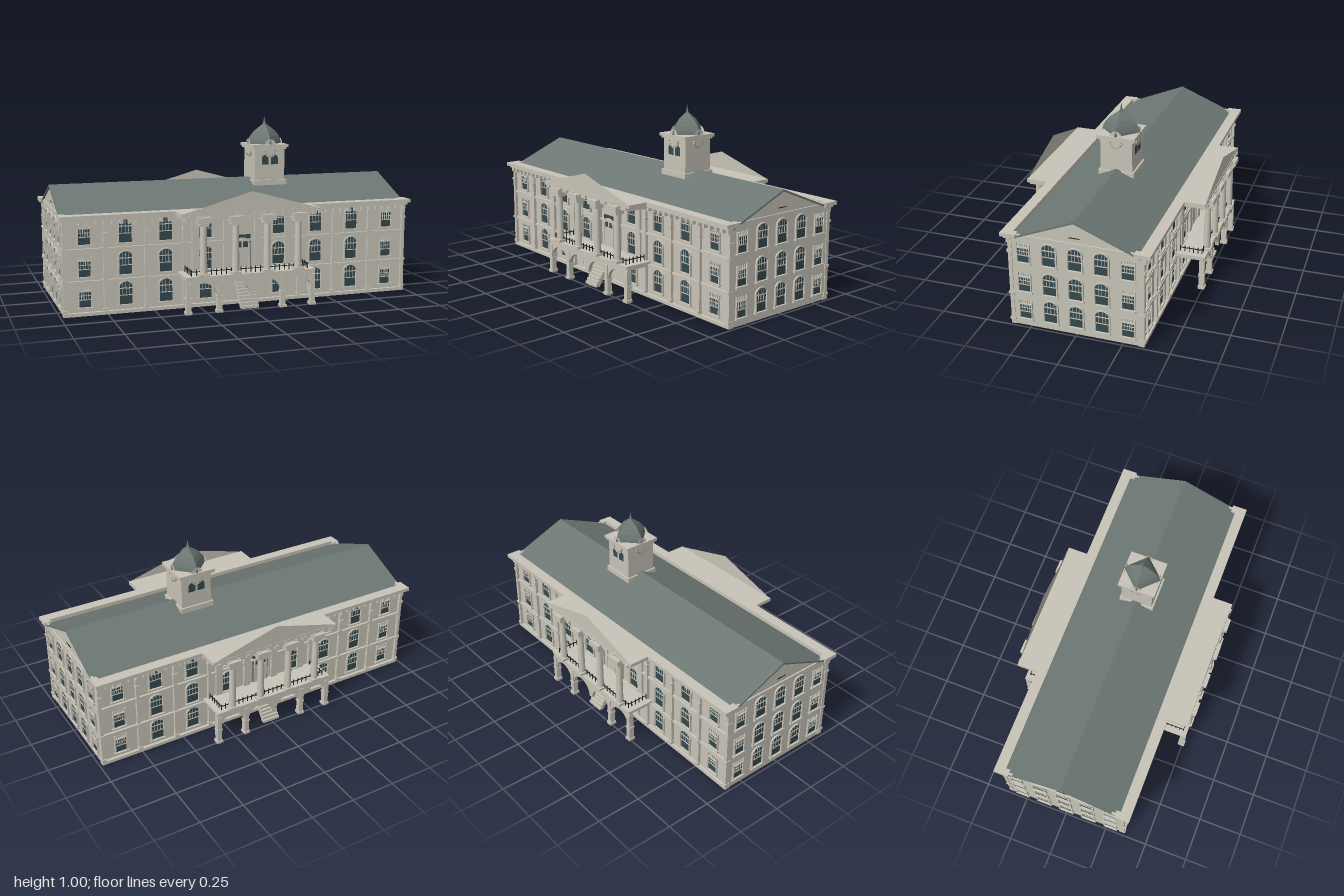
import * as THREE from 'three';
import { mergeGeometries } from 'three/addons/utils/BufferGeometryUtils.js';

const mat = (name, color, side = THREE.FrontSide) => {
  const m = new THREE.MeshStandardMaterial({ color, side });
  m.name = name;
  return m;
};
const stone = mat('stone', 0xc8c4b8);
const stoneSheet = mat('stoneSheet', 0xc8c4b8, THREE.DoubleSide);
const slate = mat('slate', 0x6c7773);
slate.flatShading = true;
const glass = mat('glass', 0x34494e);
const iron = mat('iron', 0x222627);

// A box geometry given by its extents
const ext = (x0, x1, y0, y1, z0, z1) =>
  new THREE.BoxGeometry(x1 - x0, y1 - y0, z1 - z0).translate((x0 + x1) / 2, (y0 + y1) / 2, (z0 + z1) / 2);

function add(parent, name, geometry, material) {
  const g = Array.isArray(geometry) ? mergeGeometries(geometry.map(q => q.index ? q.toNonIndexed() : q)) : geometry;
  const m = new THREE.Mesh(g, material);
  m.name = name;
  parent.add(m);
  return m;
}
function archShape(w, h, rise) {
  const s = new THREE.Shape();
  s.moveTo(-w / 2, 0);
  s.lineTo(w / 2, 0);
  s.lineTo(w / 2, h - rise);
  s.absellipse(0, h - rise, w / 2, rise, 0, Math.PI, false);
  return s;
}

// Windows face +z and stand with the sill at y = 0
function archedWindow() {
  const g = new THREE.Group();
  g.name = 'archedWindow';
  const w = 0.072, h = 0.122, rise = 0.03;
  add(g, 'windowGlass', new THREE.ShapeGeometry(archShape(w, h, rise), 10).translate(0, 0, 0.002), glass);
  const surround = archShape(w + 0.012, h + 0.006, rise + 0.004);
  surround.holes.push(archShape(w, h, rise));
  const bars = [
    new THREE.ExtrudeGeometry(surround, { depth: 0.008, bevelEnabled: false, curveSegments: 10 }),
    ext(-0.046, 0.046, -0.01, 0, 0, 0.014),
    ext(-w / 2, w / 2, 0.047, 0.051, 0.001, 0.005),
    ext(-w / 2, w / 2, 0.084, 0.089, 0.001, 0.005),
  ];
  for (const x of [-0.018, 0, 0.018]) bars.push(ext(x - 0.0012, x + 0.0012, 0.048, 0.115, 0.001, 0.004));
  for (const s of [-1, 1]) bars.push(ext(s * 0.039 - 0.004, s * 0.039 + 0.004, 0, 0.1, 0, 0.011));
  add(g, 'windowFrame', bars, stone);
  return g;
}
function flatWindow() {
  const g = new THREE.Group();
  g.name = 'flatWindow';
  add(g, 'windowGlass', ext(-0.032, 0.032, 0, 0.082, 0, 0.002), glass);
  const bars = [
    ext(-0.042, 0.042, -0.01, 0, 0, 0.014),
    ext(-0.036, 0.036, 0.082, 0.088, 0, 0.01),
    ext(-0.032, 0.032, 0.037, 0.041, 0.001, 0.005),
    ext(-0.032, 0.032, 0.06, 0.063, 0.001, 0.005),
  ];
  for (const x of [-0.019, -0.006, 0.006, 0.019]) {
    bars.push(ext(x - 0.0015, x + 0.0015, 0.04, 0.082, 0.001, 0.005));
    bars.push(ext(x - 0.002, x + 0.002, 0.088, 0.105, 0, 0.006));
  }
  for (const s of [-1, 1]) bars.push(ext(s * 0.034 - 0.003, s * 0.034 + 0.003, 0, 0.108, 0, 0.01));
  add(g, 'windowFrame', bars, stone);
  return g;
}

// Wall trim and windows of a long side, facing +z
function longSide(arched, flat) {
  const g = new THREE.Group();
  g.name = 'longSide';
  for (const y of [0.045, 0.207, 0.377])
    for (const s of [-1, 1])
      [0.21, 0.432, 0.65, 0.868].forEach((x, i) => {
        const w = (i === 3 ? flat : arched).clone();
        w.position.set(s * x, y, 0.345);
        g.add(w);
      });
  const trim = [ext(-0.985, 0.985, 0, 0.018, 0.33, 0.362)];
  for (const y of [0.18, 0.35]) trim.push(ext(-0.985, 0.985, y - 0.006, y + 0.006, 0.34, 0.358));
  for (const s of [-1, 1]) {
    for (const x of [0.33, 0.54, 0.76, 0.975]) {
      trim.push(ext(s * x - 0.009, s * x + 0.009, 0, 0.48, 0.34, 0.361));
      for (const y of [0.03, 0.185, 0.43]) trim.push(ext(s * x - 0.012, s * x + 0.012, y - 0.007, y + 0.007, 0.335, 0.367));
    }
    // cornice return around the corner
    trim.push(ext(s * 0.98 - 0.02, s * 0.98 + 0.02, 0.512, 0.535, 0.31, 0.36));
  }
  add(g, 'wallTrim', trim, stone);
  const cornice = [ext(-1, 1, 0.515, 0.535, 0.335, 0.395), ext(-0.99, 0.99, 0.503, 0.515, 0.335, 0.378)];
  for (let i = 0; i < 46; i++) {
    const x = -0.975 + i * 1.95 / 45;
    cornice.push(ext(x - 0.008, x + 0.008, 0.478, 0.504, 0.34, 0.37));
  }
  add(g, 'bracketedCornice', cornice, stone);

  // balcony door
  add(g, 'doorGlass', ext(-0.048, 0.048, 0.2, 0.38, 0.34, 0.348), glass);
  const fan = archShape(0.084, 0.165, 0.04);
  fan.holes.push(archShape(0.068, 0.156, 0.034));
  add(g, 'doorFrame', [
    new THREE.ExtrudeGeometry(fan, { depth: 0.008, bevelEnabled: false }).translate(0, 0.2, 0.346),
    ext(-0.036, 0.036, 0.2, 0.31, 0.346, 0.351), ext(-0.003, 0.003, 0.31, 0.355, 0.347, 0.352),
  ], stone);
  return g;
}

// Portico with arcade, stair, balcony, columns and pediment, facing +z
function portico() {
  const g = new THREE.Group();
  g.name = 'portico';
  const panel = new THREE.Shape();
  const r = 0.077;
  panel.moveTo(-0.365, 0.19);
  panel.lineTo(-0.365, 0.085);
  for (const x of [-0.27, -0.09, 0.09, 0.27]) {
    panel.lineTo(x - r, 0.085);
    panel.absarc(x, 0.085, r, Math.PI, 0, true);
  }
  panel.lineTo(0.365, 0.085);
  panel.lineTo(0.365, 0.19);
  const arcade = [new THREE.ExtrudeGeometry(panel, { depth: 0.02, bevelEnabled: false, curveSegments: 12 }).translate(0, 0, 0.483)];
  for (const x of [-0.352, -0.18, 0.18, 0.352]) {
    arcade.push(ext(x - 0.013, x + 0.013, 0, 0.17, 0.478, 0.508));
    arcade.push(ext(x - 0.018, x + 0.018, 0, 0.015, 0.474, 0.513));
    arcade.push(ext(x - 0.017, x + 0.017, 0.08, 0.09, 0.475, 0.51));
  }
  add(g, 'arcade', arcade, stone);
  add(g, 'balconyDeck', [ext(-0.365, 0.365, 0.188, 0.2, 0.34, 0.51), ext(-0.355, 0.355, 0.172, 0.188, 0.34, 0.503)], stone);

  // stair with a sloping underside
  const st = new THREE.Shape();
  const n = 11;
  st.moveTo(0.48, 0);
  for (let i = 0; i < n; i++) {
    const z = 0.48 - i * 0.0115;
    st.lineTo(z, (i + 1) * 0.0158);
    st.lineTo(z - 0.0115, (i + 1) * 0.0158);
  }
  st.lineTo(0.3535, 0.14);
  st.lineTo(0.455, 0);
  add(g, 'stair', new THREE.ExtrudeGeometry(st, { depth: 0.1, bevelEnabled: false }).rotateY(-Math.PI / 2).translate(0.05, 0, 0), stone);

  // iron railing
  const rail = [ext(-0.33, 0.33, 0.221, 0.225, 0.483, 0.487)];
  for (let i = 0; i <= 24; i++) {
    const x = -0.33 + i * 0.0275;
    rail.push(ext(x - 0.002, x + 0.002, 0.2, 0.234, 0.483, 0.487));
  }
  for (const s of [-1, 1]) {
    rail.push(ext(s * 0.33 - 0.002, s * 0.33 + 0.002, 0.221, 0.225, 0.35, 0.487));
    for (let z = 0.362; z < 0.48; z += 0.025) rail.push(ext(s * 0.33 - 0.002, s * 0.33 + 0.002, 0.2, 0.234, z - 0.002, z + 0.002));
  }
  add(g, 'railing', rail, iron);

  // columns with matching wall pilasters
  for (const x of [-0.267, -0.089, 0.089, 0.267]) {
    add(g, 'column', new THREE.CylinderGeometry(0.017, 0.02, 0.27, 16).translate(x, 0.345, 0.495), stone);
    add(g, 'columnBlocks', [
      ext(x - 0.027, x + 0.027, 0.2, 0.215, 0.468, 0.522),
      ext(x - 0.026, x + 0.026, 0.466, 0.484, 0.469, 0.521),
      ext(x - 0.039, x + 0.039, 0.484, 0.514, 0.458, 0.532),
      ext(x - 0.02, x + 0.02, 0.2, 0.48, 0.34, 0.358),
    ], stone);
  }
  const top = [ext(-0.39, 0.39, 0.515, 0.535, 0.34, 0.51), ext(-0.37, 0.37, 0.497, 0.515, 0.34, 0.503)];
  for (let i = 0; i < 13; i++) {
    const x = -0.356 + i * 0.0593;
    top.push(ext(x - 0.012, x + 0.012, 0.503, 0.52, 0.49, 0.516));
  }
  add(g, 'entablature', top, stone);
  const ped = new THREE.Shape([[-0.39, 0.532], [0.39, 0.532], [0, 0.64]].map(p => new THREE.Vector2(...p)));
  add(g, 'pediment', new THREE.ShapeGeometry(ped).translate(0, 0, 0.508), stoneSheet);
  return g;
}

function tower() {
  const g = new THREE.Group();
  g.name = 'clockTower';
  const sq = (r, y0, y1) => ext(-r, r, y0, y1, -r, r);
  add(g, 'towerBody', [sq(0.09, 0.58, 0.82), sq(0.1, 0.6, 0.64), sq(0.1, 0.815, 0.825), sq(0.107, 0.825, 0.842)], stone);
  const profile = [[0.107, 0.842], [0.103, 0.86], [0.09, 0.885], [0.066, 0.913], [0.04, 0.933], [0.014, 0.952],
    [0.008, 0.962], [0.004, 0.98], [0, 1]].map(p => new THREE.Vector2(...p));
  add(g, 'dome', new THREE.LatheGeometry(profile, 4), slate);
  for (let k = 0; k < 4; k++) {
    const face = new THREE.Group();
    face.name = 'clockFace';
    add(face, 'clockDisc', new THREE.CylinderGeometry(0.037, 0.037, 0.009, 24).rotateX(Math.PI / 2).translate(0, 0.805, 0.0935), stone);
    add(face, 'clockHood', new THREE.CircleGeometry(0.034, 16, 0, Math.PI).translate(0, 0.838, 0.098), stoneSheet);
    const ticks = [];
    for (let i = 0; i < 12; i++)
      ticks.push(ext(-0.001, 0.001, 0.027, 0.033, 0.0975, 0.0995).rotateZ(i * Math.PI / 6).translate(0, 0.805, 0));
    add(face, 'clockTicks', ticks, iron);
    face.rotation.y = k * Math.PI / 2;
    g.add(face);
  }
  // paired belfry windows, front and back
  for (const s of [0, 1]) for (const x of [-0.028, 0.028]) {
    const w = add(g, 'belfryWindow', new THREE.ShapeGeometry(archShape(0.042, 0.055, 0.02)).translate(x, 0.728, 0.092), glass);
    w.rotation.y = s * Math.PI;
  }
  g.position.x = 0.257;
  return g;
}

// Prism along x from a (z, y) outline
const prism = (pts, half) => new THREE.ExtrudeGeometry(new THREE.Shape(pts.map(p => new THREE.Vector2(...p))),
  { depth: half * 2, bevelEnabled: false }).rotateY(-Math.PI / 2).translate(half, 0, 0);

export function createModel() {
  const model = new THREE.Group();
  model.name = 'courthouse';
  add(model, 'walls', prism([[-0.345, 0], [0.345, 0], [0.345, 0.5], [0, 0.642], [-0.345, 0.5]], 0.98), stone);
  add(model, 'roof', prism([[-0.345, 0.5], [0, 0.642], [0.345, 0.5], [0.345, 0.509], [0, 0.652], [-0.345, 0.509]], 0.99), slate);
  const arched = archedWindow(), flat = flatWindow();
  const front = new THREE.Group();
  front.name = 'frontSide';
  front.add(longSide(arched, flat), portico());
  const back = front.clone();
  back.name = 'backSide';
  back.rotation.y = Math.PI;
  model.add(front, back);
  // gable ends
  for (const s of [-1, 1]) {
    const end = new THREE.Group();
    end.name = 'gableEnd';
    for (const y of [0.045, 0.207, 0.377]) for (const x of [-0.277, -0.139, 0, 0.139, 0.277]) {
      const w = (Math.abs(x) > 0.2 ? flat : arched).clone();
      w.position.set(x, y, 0.98);
      end.add(w);
    }
    add(end, 'gableMoulding', ext(-0.31, 0.31, 0.522, 0.532, 0.975, 0.988), stone);
    add(end, 'gableVent', ext(-0.028, 0.028, 0.557, 0.561, 0.978, 0.983), iron);
    end.rotation.y = s * Math.PI / 2;
    model.add(end);
  }
  model.add(tower());
  return model;
}
